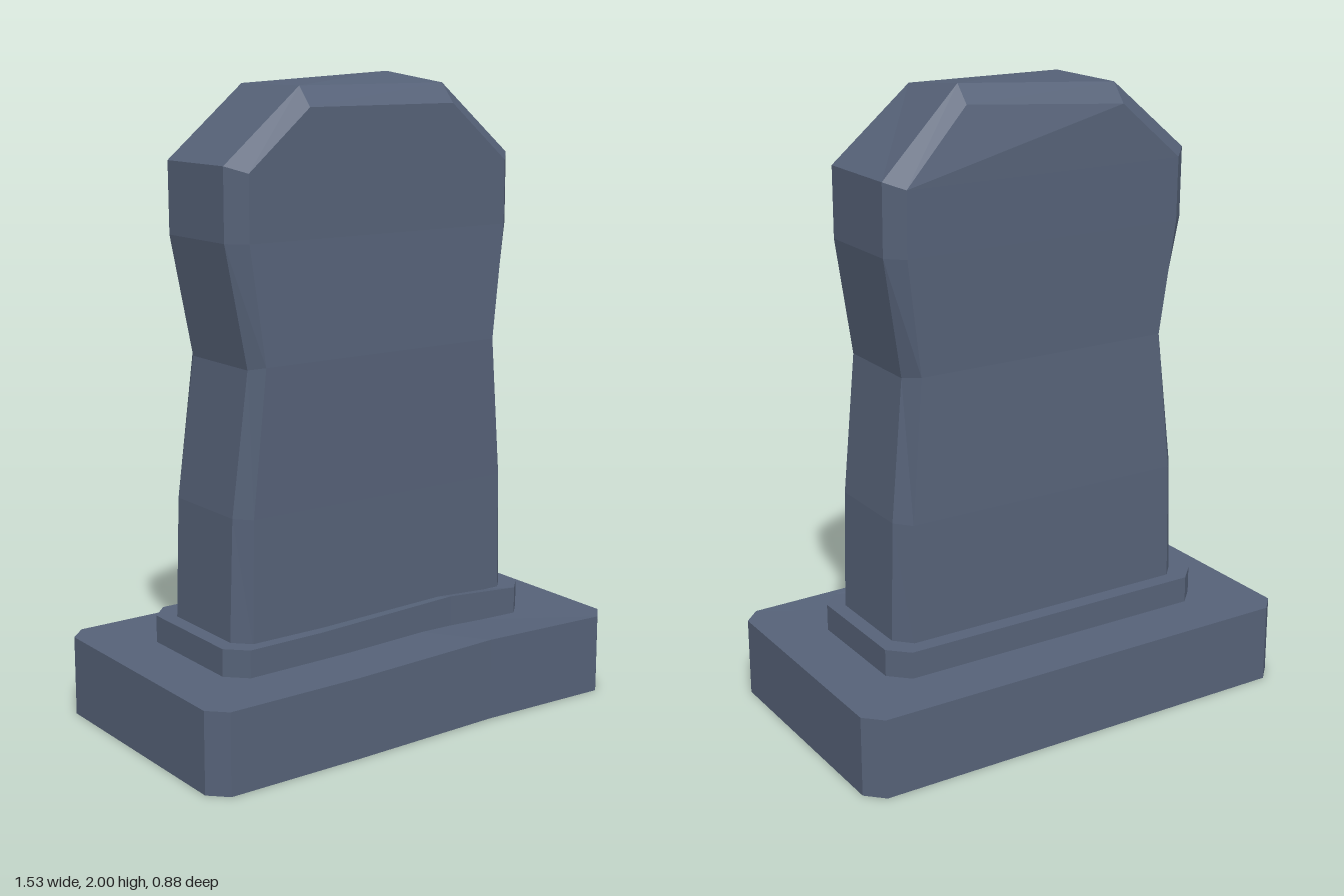
import * as THREE from 'three';

const stone = new THREE.MeshStandardMaterial({ color: 0x566278 });
stone.name = 'slateStone';
stone.flatShading = true;

function makeMesh(name, positions) {
  const geo = new THREE.BufferGeometry();
  geo.setAttribute('position', new THREE.Float32BufferAttribute(positions.flat(), 3));
  geo.computeVertexNormals();
  const mesh = new THREE.Mesh(geo, stone);
  mesh.name = name;
  return mesh;
}

const quad = (out, a, b, c, d) => out.push(a, b, c, a, c, d);

// Side walls between consecutive loops of equal length
function loft(out, loops) {
  for (let l = 0; l + 1 < loops.length; l++) {
    const a = loops[l], b = loops[l + 1], n = a.length;
    for (let i = 0; i < n; i++) {
      const j = (i + 1) % n;
      quad(out, a[i], a[j], b[j], b[i]);
    }
  }
}

// Slab with cut corners and one worn spot (x = 0.26) on its front edge
function slab(name, w, back, front, cut, y0, y1, dent, lift) {
  const plan = [
    [-w + cut, front], [-0.26, front - dent * 0.3], [0.26, front - dent], [w - cut, front],
    [w, front - cut], [w, back + cut], [w - cut, back],
    [-w + cut, back], [-w, back + cut], [-w, front - cut],
  ];
  const loop = (y, bump) => plan.map(([x, z], i) => [x, i === 2 ? y + bump : y, z]);
  const low = loop(y0, 0.004), high = loop(y1, lift);
  const out = [];
  loft(out, [low, high]);
  for (let i = 0; i < plan.length; i++) {
    const j = (i + 1) % plan.length;
    out.push([0, y1, 0], high[i], high[j]);
    out.push([0, y0, 0], low[j], low[i]);
  }
  return makeMesh(name, out);
}

// Waisted headstone: chamfered front and back faces, cut shoulders
function headstone() {
  // Per level: rim [x, y], face [x, y], then z of back face, back rim, front rim, front face
  const levels = [
    [0.527, 0.33, 0.478, 0.33, -0.203, -0.15, 0.155, 0.205],
    [0.515, 0.72, 0.472, 0.72, -0.2, -0.148, 0.157, 0.207],
    [0.465, 1.16, 0.43, 1.17, -0.188, -0.13, 0.17, 0.216],
    [0.528, 1.53, 0.477, 1.53, -0.2, -0.15, 0.152, 0.206],
    [0.528, 1.75, 0.477, 1.73, -0.203, -0.153, 0.152, 0.206],
    [0.265, 1.97, 0.265, 1.91, -0.203, -0.153, 0.152, 0.206],
  ];
  const top = levels.length - 1;
  const last = levels.length * 2 - 1;
  const loop = (xyAt, zAt) => {
    const side = (s) => levels.map((v) => [s * v[xyAt], v[xyAt + 1], v[zAt]]);
    return [...side(1), ...side(-1).reverse()];
  };
  const backFace = loop(2, 4), backRim = loop(0, 5);
  const frontRim = loop(0, 6), frontFace = loop(2, 7);

  // Raised, uneven corner at the back of the crown
  backRim[top] = [0.255, 2.0, -0.113];
  backFace[top] = [0.255, 1.945, -0.163];

  const out = [];
  loft(out, [backFace, backRim, frontRim, frontFace]);
  for (let k = 0; k < top; k++) {
    const f = frontFace, b = backFace;
    quad(out, f[last - k], f[k], f[k + 1], f[last - k - 1]);
    quad(out, b[k], b[last - k], b[last - k - 1], b[k + 1]);
  }
  return makeMesh('headstone', out);
}

export function createModel() {
  const group = new THREE.Group();
  group.name = 'gravestone';
  group.add(
    slab('base', 0.763, -0.44, 0.438, 0.054, 0, 0.254, 0.01, 0.01),
    slab('plinth', 0.575, -0.255, 0.247, 0.06, 0.25, 0.34, 0.016, 0.014),
    headstone(),
  );
  return group;
}
